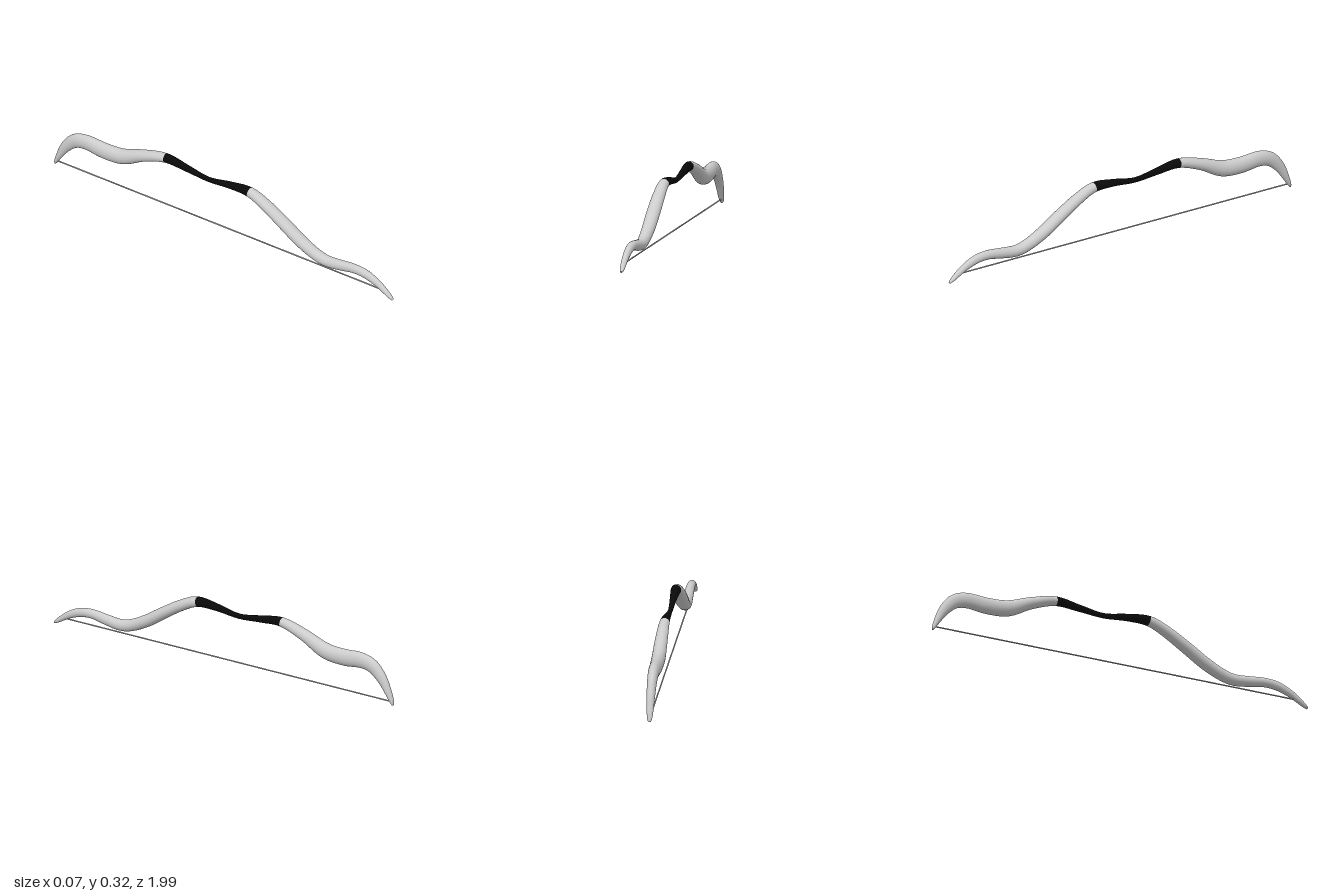
import * as THREE from 'three';

// Stations along the bow: z, centre y, half thickness, half width
const STATIONS = [
  [0.997, 0.006, 0.004, 0.006],
  [0.975, 0.022, 0.011, 0.012],
  [0.91, 0.064, 0.018, 0.016],
  [0.84, 0.091, 0.022, 0.019],
  [0.77, 0.097, 0.023, 0.021],
  [0.69, 0.086, 0.026, 0.024],
  [0.61, 0.078, 0.028, 0.027],
  [0.54, 0.093, 0.029, 0.029],
  [0.45, 0.136, 0.030, 0.032],
  [0.36, 0.193, 0.029, 0.033],
  [0.25, 0.258, 0.027, 0.030],
  [0.155, 0.296, 0.025, 0.025],
  [0.04, 0.291, 0.018, 0.017],
  [-0.085, 0.275, 0.013, 0.011],
  [-0.21, 0.288, 0.017, 0.016],
  [-0.338, 0.300, 0.023, 0.024],
  [-0.47, 0.262, 0.029, 0.030],
  [-0.59, 0.211, 0.039, 0.033],
  [-0.70, 0.201, 0.041, 0.031],
  [-0.80, 0.208, 0.039, 0.027],
  [-0.87, 0.191, 0.035, 0.024],
  [-0.925, 0.139, 0.027, 0.021],
  [-0.962, 0.077, 0.017, 0.017],
  [-0.983, 0.033, 0.009, 0.012],
  [-0.988, 0.018, 0.003, 0.005],
];
const LAST = STATIONS.length - 1;
const SIDES = 24, STEPS = 5;

const curveOf = (points) => new THREE.CatmullRomCurve3(points, false, 'catmullrom', 0.5);
const path = curveOf(STATIONS.map(([z, y]) => new THREE.Vector3(0, y, z)));
const size = curveOf(STATIONS.map(([, , h, w]) => new THREE.Vector3(w, h, 0)));

// Sweeps an oval section along the bow from one station to another
function sweep(from, to) {
  const rings = (to - from) * STEPS;
  const pos = [], index = [];
  for (let i = 0; i <= rings; i++) {
    const t = (from + i / STEPS) / LAST;
    const c = path.getPoint(t), s = size.getPoint(t), d = path.getTangent(t);
    for (let j = 0; j <= SIDES; j++) {
      const a = (j % SIDES) / SIDES * Math.PI * 2;
      const up = Math.sin(a) * s.y;
      // The section's up direction is the tangent turned a quarter in the yz plane
      pos.push(Math.cos(a) * s.x, c.y - d.z * up, c.z + d.y * up);
    }
  }
  const row = SIDES + 1;
  for (let i = 0; i < rings; i++) {
    for (let j = 0; j < SIDES; j++) {
      const a = i * row + j, b = a + row;
      index.push(a, a + 1, b, a + 1, b + 1, b);
    }
  }
  // End caps
  for (const [ring, flip] of [[0, false], [rings, true]]) {
    const t = (from + ring / STEPS) / LAST, c = path.getPoint(t);
    const start = pos.length / 3;
    for (let j = 0; j < SIDES; j++) {
      const k = (ring * row + j) * 3;
      pos.push(pos[k], pos[k + 1], pos[k + 2]);
    }
    pos.push(0, c.y, c.z);
    for (let j = 0; j < SIDES; j++) {
      const p = start + j, q = start + (j + 1) % SIDES, m = start + SIDES;
      index.push(...(flip ? [m, p, q] : [m, q, p]));
    }
  }
  const g = new THREE.BufferGeometry();
  g.setAttribute('position', new THREE.Float32BufferAttribute(pos, 3));
  g.setIndex(index);
  g.computeVertexNormals();
  // Share the normal across the seam
  const n = g.attributes.normal;
  for (let i = 0; i <= rings; i++) {
    const a = i * row, b = a + SIDES;
    const v = new THREE.Vector3().fromBufferAttribute(n, a)
      .add(new THREE.Vector3().fromBufferAttribute(n, b)).normalize();
    n.setXYZ(a, v.x, v.y, v.z);
    n.setXYZ(b, v.x, v.y, v.z);
  }
  return g;
}

export function createModel() {
  const group = new THREE.Group();
  const grey = new THREE.MeshStandardMaterial({ color: 0xcccccc, side: THREE.DoubleSide });
  const black = new THREE.MeshStandardMaterial({ color: 0x0a0a0a, side: THREE.DoubleSide });
  const add = (name, geometry, material) => {
    const mesh = new THREE.Mesh(geometry, material);
    mesh.name = name;
    group.add(mesh);
  };

  // Two limbs with the dark grip between them
  add('frontLimb', sweep(0, 11), grey);
  add('grip', sweep(11, 15), black);
  add('backLimb', sweep(15, LAST), grey);

  // Straight string between the limb tips
  const string = new THREE.LineCurve3(new THREE.Vector3(0, 0.04, 0.93), new THREE.Vector3(0, 0.036, -0.978));
  add('bowString', new THREE.TubeGeometry(string, 1, 0.0035, 8), grey);
  return group;
}
